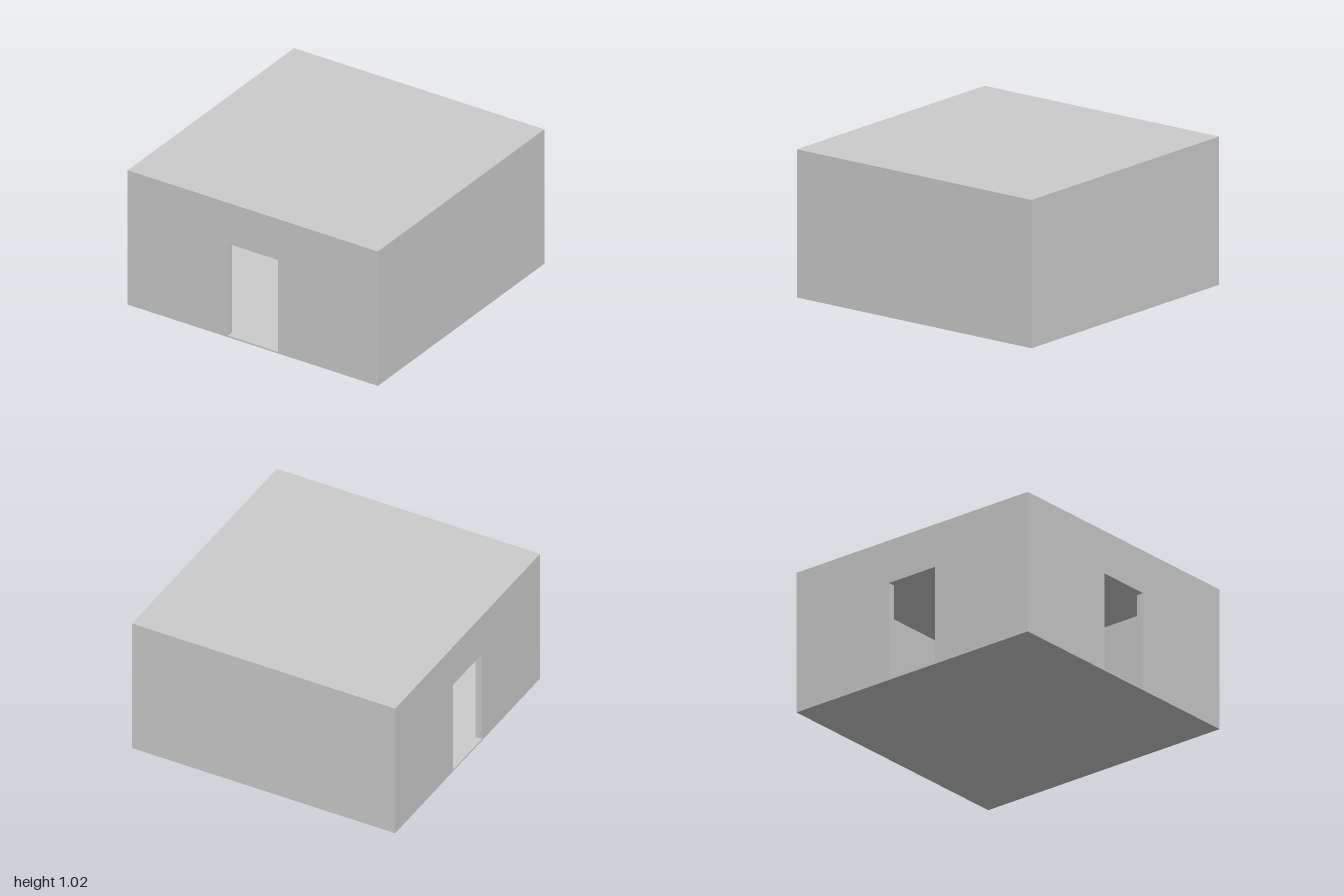
import * as THREE from 'three';

const SIZE = 2, SLAB = 0.0125, WALL_H = 1, WALL_T = 0.05;
const DOOR_W = 0.4, DOOR_H = 0.7;

const material = new THREE.MeshStandardMaterial({ color: 0xcccccc, flatShading: true });

// Upright wall panel centred on x and z, with an optional doorway in the middle
function makeWall(name, length, hasDoor) {
  const l = length / 2, d = DOOR_W / 2;
  const points = [[-l, 0]];
  if (hasDoor) points.push([-d, 0], [-d, DOOR_H], [d, DOOR_H], [d, 0]);
  points.push([l, 0], [l, WALL_H], [-l, WALL_H]);
  const shape = new THREE.Shape(points.map(([x, y]) => new THREE.Vector2(x, y)));
  const geometry = new THREE.ExtrudeGeometry(shape, { depth: WALL_T, bevelEnabled: false });
  geometry.translate(0, 0, -WALL_T / 2);
  const wall = new THREE.Mesh(geometry, material);
  wall.name = name;
  return wall;
}

function makeSlab(name, bottom) {
  const slab = new THREE.Mesh(new THREE.BoxGeometry(SIZE, SLAB, SIZE), material);
  slab.name = name;
  slab.position.y = bottom + SLAB / 2;
  return slab;
}

export function createModel() {
  const room = new THREE.Group();
  room.name = 'room';

  // Floor and flat roof
  room.add(makeSlab('floor', 0), makeSlab('roof', SLAB + WALL_H));

  // Four walls around a hollow interior; the front and the -x side have doorways
  const offset = SIZE / 2 - WALL_T / 2;
  const inner = SIZE - 2 * WALL_T;
  const walls = [
    ['frontWall', SIZE, true, 0, offset, 0],
    ['backWall', SIZE, false, 0, -offset, 0],
    ['rightWall', inner, true, -offset, 0, Math.PI / 2],
    ['leftWall', inner, false, offset, 0, Math.PI / 2],
  ];
  for (const [name, length, hasDoor, x, z, turn] of walls) {
    const wall = makeWall(name, length, hasDoor);
    wall.position.set(x, SLAB, z);
    wall.rotation.y = turn;
    room.add(wall);
  }
  return room;
}
